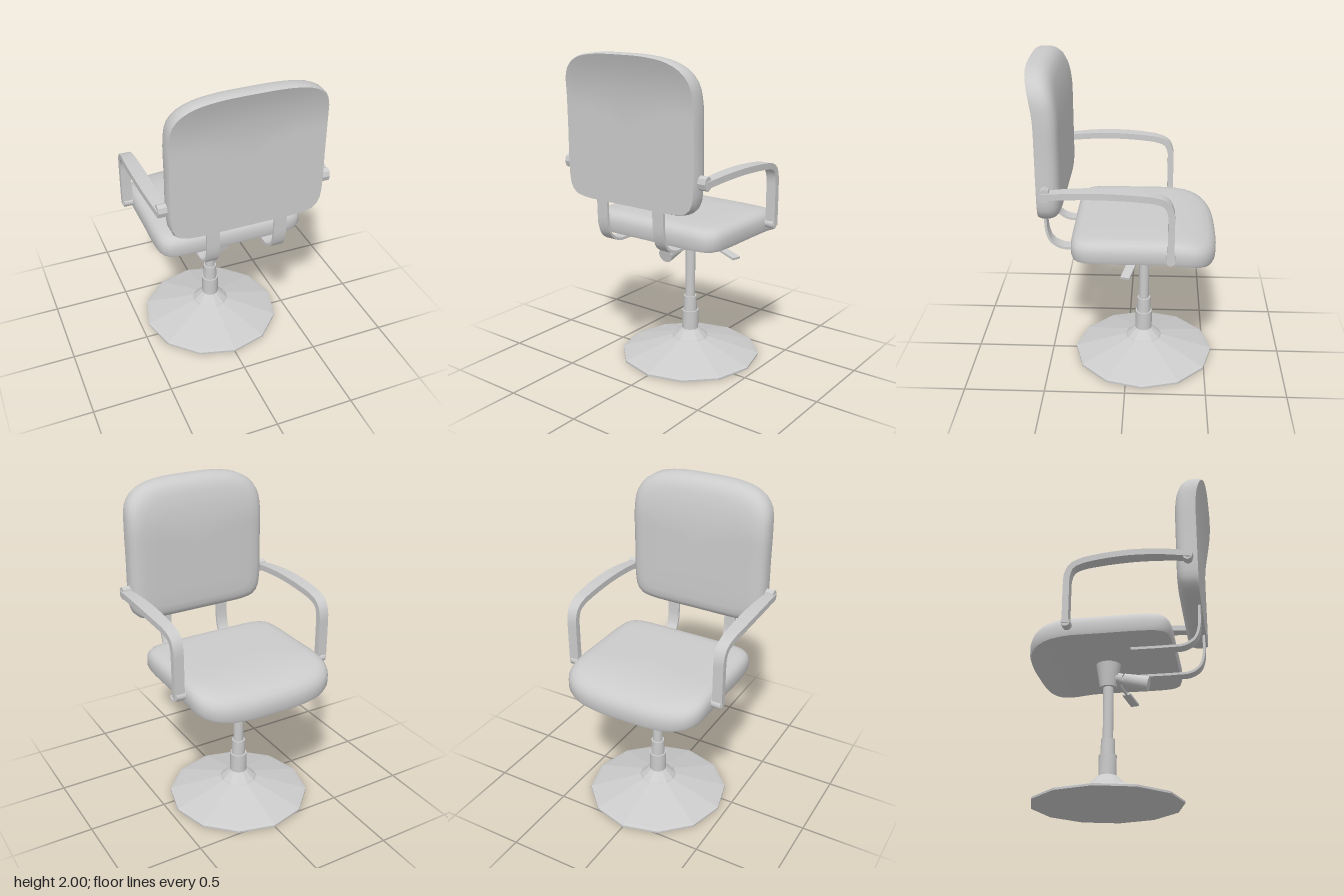
import * as THREE from 'three';
import { toCreasedNormals } from 'three/addons/utils/BufferGeometryUtils.js';

const V = (x, y, z) => new THREE.Vector3(x, y, z);
const material = new THREE.MeshStandardMaterial({ color: 0xcccccc });
const facetedMaterial = new THREE.MeshStandardMaterial({ color: 0xcccccc, flatShading: true });

// Skin a list of equal-length rings and close both ends
function loft(rings, crease = 0.7) {
  const n = rings[0].length, index = [];
  for (let i = 0; i < rings.length - 1; i++) {
    for (let j = 0; j < n; j++) {
      const a = i * n + j, b = i * n + (j + 1) % n;
      index.push(a, b, b + n, a, b + n, a + n);
    }
  }
  const last = (rings.length - 1) * n;
  for (let j = 1; j < n - 1; j++) {
    index.push(0, j + 1, j, last, last + j, last + j + 1);
  }
  const geo = new THREE.BufferGeometry().setFromPoints(rings.flat());
  geo.setIndex(index);
  return toCreasedNormals(geo, crease);
}

// Padded cushion: x across, y thickness, -z length, its far end bending down
function cushion() {
  const half = [[0.2, 0], [0.34, 0.004], [0.42, 0.024], [0.453, 0.07], [0.465, 0.15], [0.466, 0.4],
    [0.465, 0.63], [0.452, 0.73], [0.41, 0.795], [0.33, 0.842], [0.2, 0.867]];
  const pts = [[0, 0], ...half, [0, 0.873], ...half.map(([x, v]) => [-x, v]).reverse()];
  const outline = new THREE.CatmullRomCurve3(pts.map(([x, v]) => V(x, 0, v)), true)
    .getSpacedPoints(80).slice(0, 80);
  // [scale, height] from the underside centre, round the rim, to the top centre
  const levels = [[0, 0], [0.3, 0], [0.6, 0], [0.85, 0], [0.985, 0], [1, 0.02], [1, 0.07], [0.985, 0.095],
    [0.95, 0.115], [0.89, 0.127], [0.8, 0.131], [0.6, 0.132], [0.3, 0.132], [0, 0.132]];
  const mid = 0.436;
  return loft(levels.map(([s, w]) => outline.map((p) => {
    const v = mid + (p.z - mid) * s;
    const t = Math.max(0, (v - 0.55) / 0.323);
    return V(p.x * s, w - 0.065 * t * t, -v);
  })));
}

// Flat bar following a path of [z, y] points; span(z) gives its two x limits
function bar(path, thickness, span) {
  const curve = new THREE.CatmullRomCurve3(path.map(([z, y]) => V(0, y, z)), false, 'centripetal');
  const steps = 36;
  return loft(Array.from({ length: steps + 1 }, (_, i) => {
    const p = curve.getPointAt(i / steps), t = curve.getTangentAt(i / steps);
    const n = V(0, t.z, -t.y).multiplyScalar(thickness / 2);
    const [x0, x1] = span(p.z);
    return [[x0, -1], [x1, -1], [x1, 1], [x0, 1]].map(([x, k]) => V(x, p.y + n.y * k, p.z + n.z * k));
  }));
}

export function createModel() {
  const model = new THREE.Group();
  const add = (name, geo, mat = material) => {
    const mesh = new THREE.Mesh(geo, mat);
    mesh.name = name;
    model.add(mesh);
    return mesh;
  };
  // Cylinder or cone running from point a to point b
  const rod = (name, a, b, ra, rb, sides = 16) => {
    const mesh = add(name, toCreasedNormals(new THREE.CylinderGeometry(rb, ra, a.distanceTo(b), sides), 0.7));
    mesh.position.copy(a).lerp(b, 0.5);
    mesh.quaternion.setFromUnitVectors(V(0, 1, 0), b.clone().sub(a).normalize());
    return mesh;
  };
  const axisZ = -0.105;

  // Twelve-sided dish foot
  const foot = [[0, 0], [0.45, 0], [0.45, 0.012], [0.43, 0.02], [0.118, 0.115], [0.11, 0.125], [0.055, 0.175], [0, 0.175]];
  add('foot', new THREE.LatheGeometry(foot.map(([r, y]) => new THREE.Vector2(r, y)), 12), facetedMaterial)
    .position.z = axisZ;

  // Telescopic column and conical seat mount
  [['lowerColumn', 0.17, 0.3, 0.054, 0.054], ['middleColumn', 0.3, 0.4, 0.044, 0.042],
    ['upperColumn', 0.4, 0.74, 0.032, 0.032], ['seatMount', 0.73, 0.885, 0.052, 0.078]]
    .forEach(([name, y0, y1, r0, r1]) => rod(name, V(0, y0, axisZ), V(0, y1, axisZ), r0, r1));

  // Tension knob on its neck
  rod('knobNeck', V(-0.01, 0.8, -0.1), V(-0.01, 0.763, 0.01), 0.025, 0.025);
  rod('knobCollar', V(-0.01, 0.784, -0.045), V(-0.01, 0.775, -0.015), 0.036, 0.036);
  rod('tensionKnob', V(-0.01, 0.77, -0.005), V(-0.01, 0.737, 0.145), 0.042, 0.048);

  // Height lever with a flat paddle
  rod('heightLever', V(0.03, 0.84, -0.1), V(0.3, 0.792, -0.03), 0.009, 0.009, 8);
  const paddle = add('leverPaddle', new THREE.BoxGeometry(0.15, 0.014, 0.055));
  paddle.position.set(0.35, 0.781, -0.018);
  paddle.rotation.set(0, -0.25, -0.18);

  // Seat and backrest share one cushion shape
  add('seat', cushion()).position.set(0, 0.88, 0.327);
  add('backrest', cushion().rotateY(Math.PI).rotateX(-Math.PI / 2)).position.set(0, 1.127, 0.497);

  const armPath = [[0.46, 1.322], [0.3, 1.338], [0.12, 1.344], [-0.08, 1.333], [-0.19, 1.316], [-0.24, 1.29],
    [-0.263, 1.235], [-0.266, 1.15], [-0.266, 0.93]];
  const supportPath = [[0.485, 1.22], [0.483, 1.1], [0.476, 0.98], [0.45, 0.915], [0.39, 0.877], [0.3, 0.871], [0.07, 0.871]];

  for (const side of [-1, 1]) {
    const prefix = side > 0 ? 'left' : 'right';
    const span = (inner, outer) => (side > 0 ? [inner, outer] : [-outer, -inner]);

    // Armrest, bowed outwards in the middle
    add(prefix + 'Armrest', bar(armPath, 0.038, (z) => span(0.468, 0.551 - 0.022 * ((z - 0.07) / 0.36) ** 2)));
    // Fixings at the backrest and at the seat
    const pivot = rod(prefix + 'ArmPivot', V(0.44 * side, 1.328, 0.442), V(0.52 * side, 1.328, 0.442), 0.042, 0.042, 8);
    pivot.scale.z = 0.75;
    rod(prefix + 'ArmFoot', V(0.44 * side, 0.938, -0.266), V(0.524 * side, 0.938, -0.266), 0.028, 0.028, 12);
    // Bent strap joining seat and backrest
    add(prefix + 'BackSupport', bar(supportPath, 0.016, () => span(0.17, 0.248)));
  }
  return model;
}
